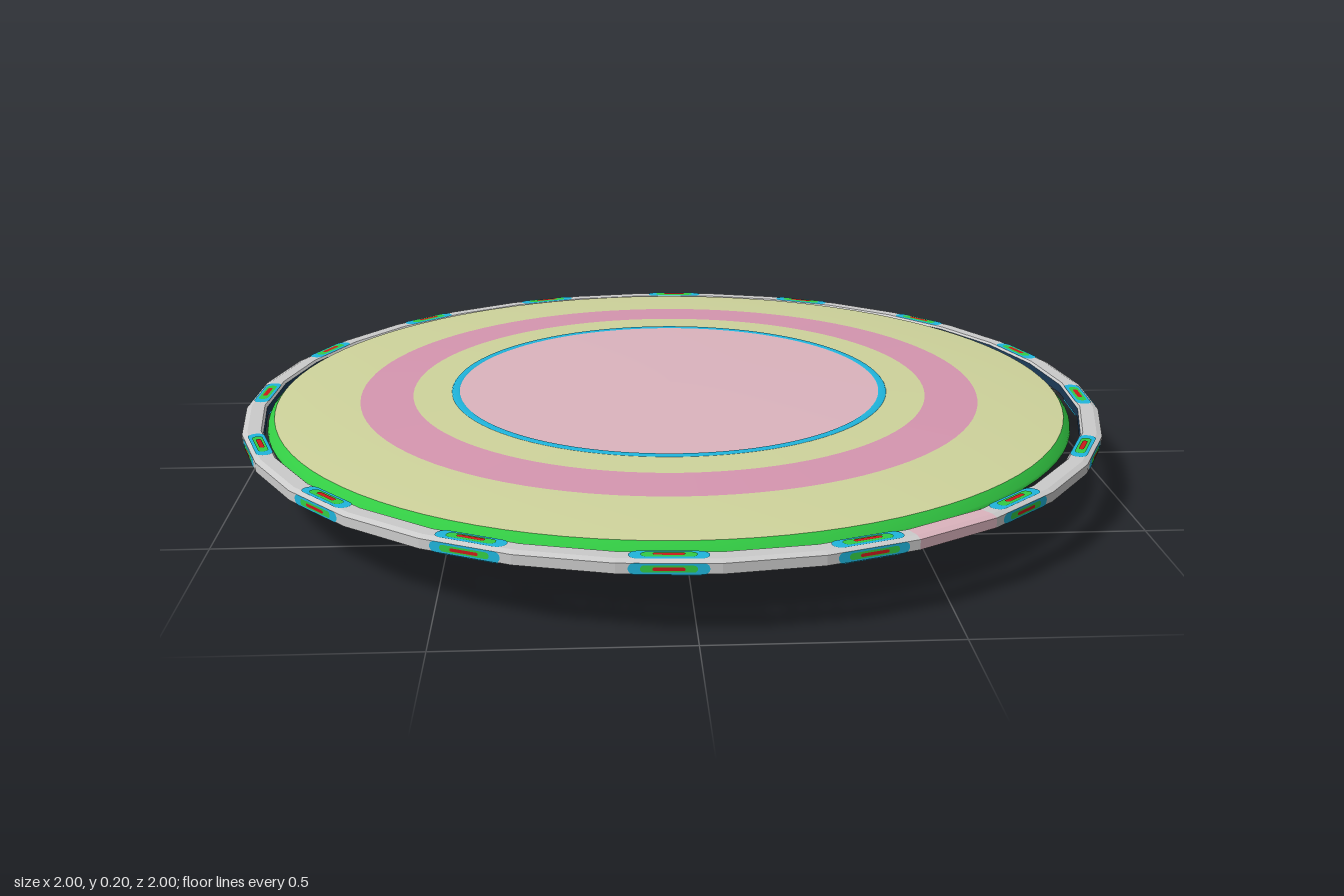
import * as THREE from 'three';

const DEG = Math.PI / 180;
const SIDES = 32, MARKS = 16;
const PINK = 0xdcb4be, ROSE = 0xd696b0, LIME = 0xcfd49c, BLUE = 0x1fb5dd;
const GREEN = 0x33cc44, RED = 0xcc1a1a, PURPLE = 0x4a1c66, BROWN = 0x7a4524, NAVY = 0x1c3c5a;

function material(color, flatShading = false) {
  return new THREE.MeshStandardMaterial({ color, flatShading, side: THREE.DoubleSide });
}

// Surface of revolution from [radius, height] pairs
function lathe(name, pts, color, { sides = 96, start = 0, length = Math.PI * 2, flat = false } = {}) {
  const geo = new THREE.LatheGeometry(pts.map(p => new THREE.Vector2(...p)), sides, start, length);
  const mesh = new THREE.Mesh(geo, material(color, flat));
  mesh.name = name;
  return mesh;
}

// Rounded-end strip lying in the XY plane
function strip(name, length, width, color, lift) {
  const r = width / 2, h = length / 2 - r;
  const shape = new THREE.Shape();
  shape.absarc(h, 0, r, -Math.PI / 2, Math.PI / 2, false);
  shape.absarc(-h, 0, r, Math.PI / 2, Math.PI * 1.5, false);
  const mesh = new THREE.Mesh(new THREE.ShapeGeometry(shape, 5), material(color));
  mesh.name = name;
  mesh.position.z = lift;
  return mesh;
}

// Blue, green and red strips stacked into one light
function lightPatch(width) {
  const patch = new THREE.Group();
  patch.add(
    strip('lightBorder', 0.15, width, BLUE, 0.001),
    strip('lightBody', 0.105, width * 0.62, GREEN, 0.002),
    strip('lightCore', 0.06, width * 0.3, RED, 0.003)
  );
  return patch;
}

function createDisc() {
  const disc = new THREE.Group();
  disc.name = 'disc';
  // Gently domed top, split into coloured bands
  const bands = [
    ['edgeBand', [[0.938, 0.153], [0.936, 0.16], [0.921, 0.177]], GREEN],
    ['outerBand', [[0.921, 0.177], [0.83, 0.184], [0.727, 0.189]], LIME],
    ['roseBand', [[0.727, 0.189], [0.605, 0.193]], ROSE],
    ['innerBand', [[0.605, 0.193], [0.515, 0.195]], LIME],
    ['blueBand', [[0.515, 0.195], [0.513, 0.197], [0.499, 0.197], [0.497, 0.196]], BLUE],
    ['centrePanel', [[0.497, 0.196], [0.25, 0.199], [0, 0.2]], PINK],
    // Underside
    ['undersideRim', [[0.908, 0.136], [0.938, 0.153]], BROWN],
    ['underside', [[0.66, 0.12], [0.8, 0.127], [0.908, 0.136]], PURPLE],
  ];
  for (const [name, pts, color] of bands) disc.add(lathe(name, pts, color));
  disc.position.set(-0.007, 0, -0.005);
  return disc;
}

function createBase() {
  const base = new THREE.Group();
  base.name = 'base';
  base.add(
    lathe('baseBottom', [[0, 0.003], [0.3, 0.008], [0.5, 0.017], [0.65, 0.028], [0.715, 0.037], [0.735, 0.05]], PINK),
    lathe('baseWall', [[0.735, 0.05], [0.75, 0.056], [0.738, 0.072], [0.735, 0.085],
      [0.742, 0.1], [0.75, 0.108], [0.745, 0.117], [0.69, 0.123]], PINK),
    // Faceted lip breaking through the rounded lower edge
    lathe('baseLip', [[0.7, 0.036], [0.725, 0.035], [0.752, 0.05], [0.745, 0.062]], PINK, { sides: 28, flat: true })
  );
  base.position.set(-0.007, 0, -0.005);
  return base;
}

function createRing() {
  const ring = new THREE.Group();
  ring.name = 'outerRing';
  const step = Math.PI * 2 / SIDES, start = 19.3 * DEG - step / 2;
  const profile = [[0.953, 0.146], [0.958, 0.14], [0.988, 0.14], [1, 0.145], [1, 0.166],
    [0.988, 0.171], [0.958, 0.171], [0.953, 0.166]];
  const pinkSide = 1; // one pink segment among the grey ones
  const opts = { flat: true };
  ring.add(
    lathe('ringBody', profile, 0xcccccc,
      { ...opts, sides: SIDES - 1, start: start + (pinkSide + 1) * step, length: (SIDES - 1) * step }),
    lathe('ringPinkSegment', profile, PINK, { ...opts, sides: 1, start: start + pinkSide * step, length: step }),
    lathe('ringInnerFace', [[0.953, 0.166], [0.953, 0.146]], NAVY, { ...opts, sides: SIDES, start })
  );

  // Lights on the top, outer and lower faces of every second segment
  const flat = Math.cos(step / 2);
  for (let i = 0; i < MARKS; i++) {
    const light = new THREE.Group();
    light.name = 'light';
    const top = lightPatch(0.036), outer = lightPatch(0.022), under = lightPatch(0.036);
    top.position.set(0, 0.171, 0.974 * flat);
    top.rotation.x = -Math.PI / 2;
    outer.position.set(0, 0.1555, flat);
    under.position.set(0, 0.14, 0.974 * flat);
    under.rotation.x = Math.PI / 2;
    light.add(top, outer, under);
    light.rotation.y = 19.3 * DEG + i * 2 * step;
    ring.add(light);
  }
  return ring;
}

export function createModel() {
  const model = new THREE.Group();
  model.name = 'saucer';
  model.add(createBase(), createDisc(), createRing());
  return model;
}
